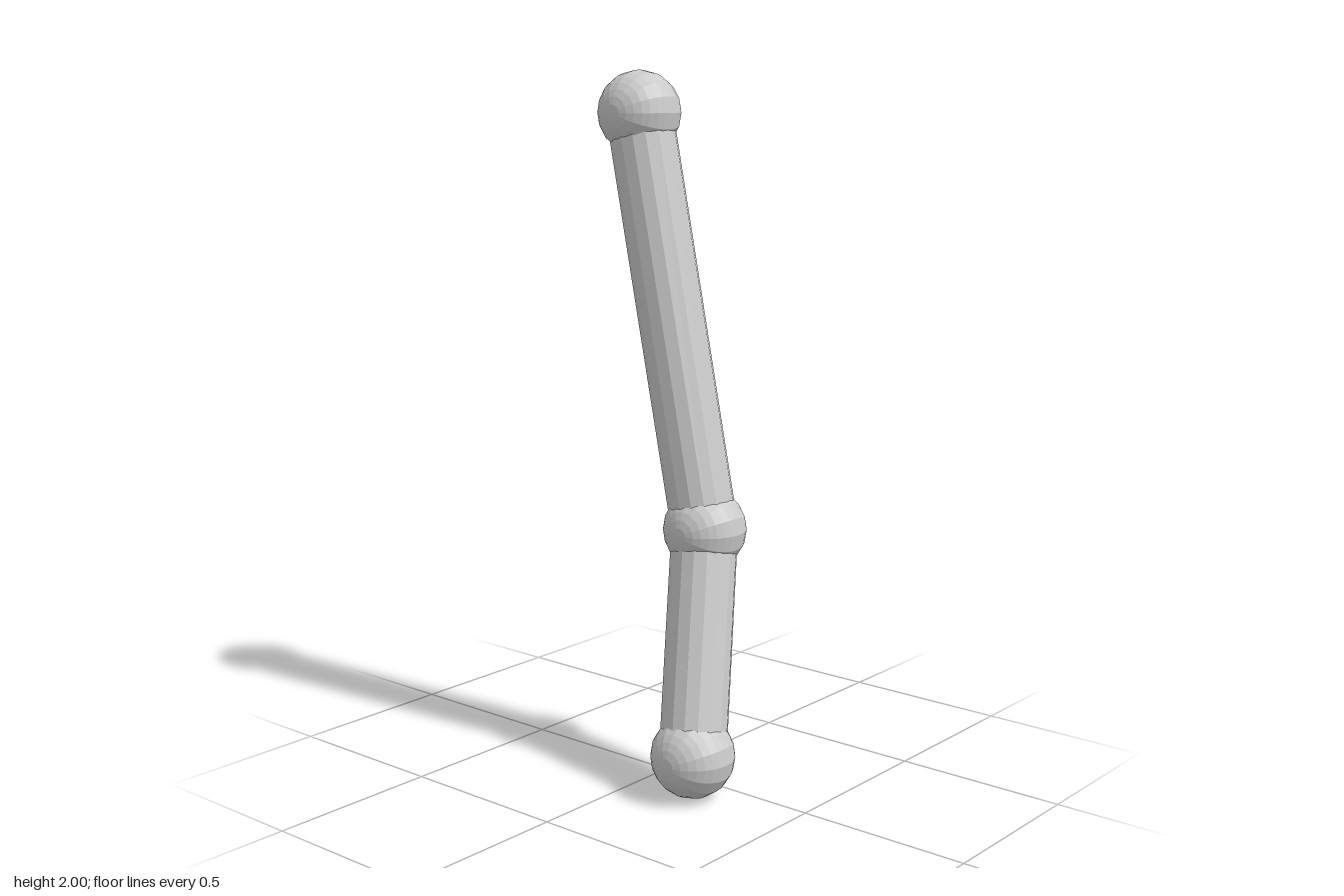
import * as THREE from 'three';

const JOINT_RADIUS = 0.119;
const ROD_RADIUS = 0.0952;

export function createModel() {
  const model = new THREE.Group();
  const material = new THREE.MeshStandardMaterial({ color: 0xcccccc, flatShading: true });

  // Joint centres from top to bottom
  const joints = {
    topJoint: new THREE.Vector3(-0.187, 1.881, -0.106),
    middleJoint: new THREE.Vector3(0.084, 0.721, -0.072),
    bottomJoint: new THREE.Vector3(0.187, 0.119, 0.105),
  };

  // Ball joints, with their poles along z
  const ball = new THREE.SphereGeometry(JOINT_RADIUS, 16, 16).rotateX(Math.PI / 2);
  for (const [name, centre] of Object.entries(joints)) {
    const mesh = new THREE.Mesh(ball, material);
    mesh.name = name;
    mesh.position.copy(centre);
    model.add(mesh);
  }

  // Straight rod running between two joint centres
  function addRod(name, from, to) {
    const axis = to.clone().sub(from);
    const geometry = new THREE.CylinderGeometry(ROD_RADIUS, ROD_RADIUS, axis.length(), 16);
    const mesh = new THREE.Mesh(geometry, material);
    mesh.name = name;
    mesh.position.copy(from).add(to).multiplyScalar(0.5);
    mesh.quaternion.setFromUnitVectors(new THREE.Vector3(0, 1, 0), axis.normalize());
    model.add(mesh);
  }
  addRod('upperRod', joints.middleJoint, joints.topJoint);
  addRod('lowerRod', joints.bottomJoint, joints.middleJoint);

  return model;
}
